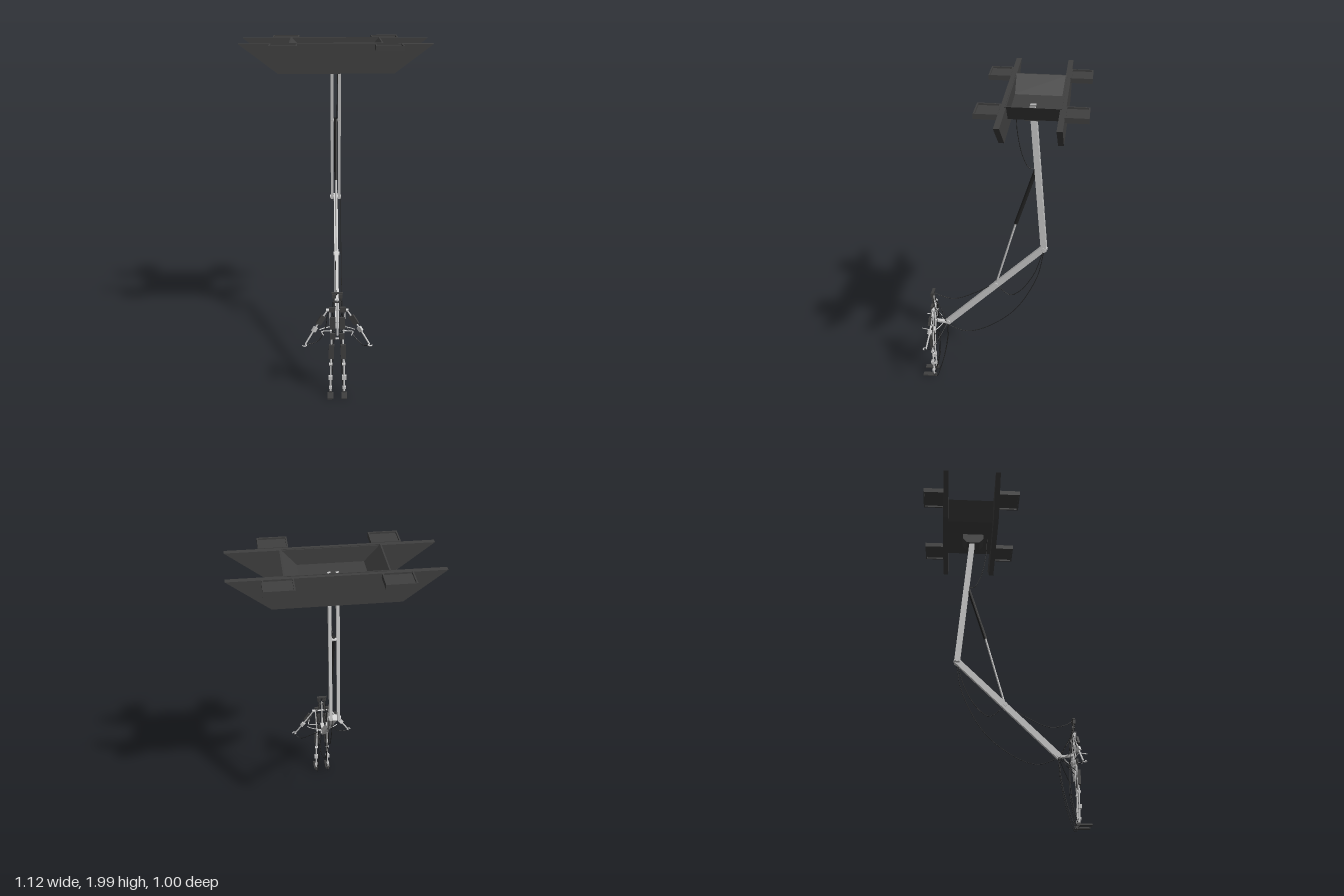
import * as THREE from 'three';

const V = (a) => new THREE.Vector3(...a);
const paint = (color) => new THREE.MeshStandardMaterial({ color, flatShading: true, side: THREE.DoubleSide });
const grey = paint(0xcccccc), dark = paint(0x404040), black = paint(0x222222);
const SIDES = [-1, 1];

export function createModel() {
  const root = new THREE.Group();
  const add = (name, geo, mat, parent = root) => {
    const m = new THREE.Mesh(geo, mat);
    m.name = name;
    parent.add(m);
    return m;
  };
  const group = (name) => {
    const g = new THREE.Group();
    g.name = name;
    root.add(g);
    return g;
  };
  const box = (name, size, pos, mat, parent) => {
    const m = add(name, new THREE.BoxGeometry(...size), mat, parent);
    m.position.set(...pos);
    return m;
  };
  // Stretch a geometry of unit height between two points
  const between = (name, geo, a, b, mat, parent) => {
    const p = V(a), d = V(b).sub(p), m = add(name, geo, mat, parent);
    m.position.copy(p).addScaledVector(d, 0.5);
    m.scale.y = d.length();
    m.quaternion.setFromUnitVectors(new THREE.Vector3(0, 1, 0), d.normalize());
    return m;
  };
  const bar = (name, a, b, w, d, mat, parent) => between(name, new THREE.BoxGeometry(w, 1, d), a, b, mat, parent);
  const rod = (name, a, b, r, mat, parent) => between(name, new THREE.CylinderGeometry(r, r, 1, 10), a, b, mat, parent);
  const pin = (name, pos, r, len, mat, parent) => {
    const m = add(name, new THREE.CylinderGeometry(r, r, len, 12), mat, parent);
    m.rotation.z = Math.PI / 2;
    m.position.set(...pos);
    return m;
  };
  const cable = (name, pts, mat = black, r = 0.0022, parent = root) =>
    add(name, new THREE.TubeGeometry(new THREE.CatmullRomCurve3(pts.map(V)), 28, r, 5), mat, parent);
  // Shape in the xy plane, extruded along z from z0
  const slab = (name, pts, z0, depth, mat, parent) => {
    const s = new THREE.Shape(pts.map(([x, y]) => new THREE.Vector2(x, y)));
    const m = add(name, new THREE.ExtrudeGeometry(s, { depth, bevelEnabled: false }), mat, parent);
    m.position.z = z0;
    return m;
  };

  // Overhead carriage: two trapezoid side plates with a trough between
  const carriage = group('carriage');
  for (const z of [-0.377, -0.069])
    slab('sidePlate', [[-0.558, 1.996], [-0.335, 1.827], [0.335, 1.827], [0.558, 1.996]], z, 0.03, dark, carriage);
  slab('trough', [[-0.27, 2], [-0.182, 1.9], [0.182, 1.9], [0.27, 2], [0.262, 2], [0.179, 1.907], [-0.179, 1.907], [-0.262, 2]],
    -0.355, 0.295, dark, carriage);
  for (const z of [-0.357, -0.064])
    slab('troughEnd', [[-0.27, 2], [-0.182, 1.9], [0.182, 1.9], [0.27, 2]], z, 0.006, dark, carriage);

  // Four shallow trays
  for (const s of SIDES) for (const z of [-0.437, 0.024]) {
    const x = s * 0.3;
    box('trayPlate', [0.16, 0.008, 0.126], [x, 1.985, z], dark, carriage);
    for (const t of SIDES) {
      box('trayRim', [0.008, 0.028, 0.126], [x + t * 0.076, 1.985, z], dark, carriage);
      box('trayRim', [0.16, 0.028, 0.008], [x, 1.985, z + t * 0.059], dark, carriage);
    }
  }

  // Mount under the trough
  const mount = slab('armMount', [[-0.066, 0.06], [-0.066, 0.03], [-0.04, 0], [0.04, 0], [0.066, 0.03], [0.066, 0.06]], 0, 0.09, dark);
  mount.rotation.y = Math.PI / 2;
  mount.position.set(-0.045, 1.84, -0.187);

  // Jointed arm
  const arm = group('arm');
  for (const s of SIDES)
    bar('upperArm', [s * 0.022, 1.912, -0.187], [s * 0.022, 1.01, -0.271], 0.017, 0.034, grey, arm);
  bar('lowerArm', [0, 1.03, -0.28], [0, 0.43, 0.332], 0.024, 0.036, grey, arm);
  pin('elbowPin', [0, 1.02, -0.27], 0.014, 0.07, grey, arm);
  pin('strutTopPin', [0, 1.52, -0.216], 0.01, 0.056, grey, arm);
  pin('strutLowPin', [0, 0.745, 0.018], 0.013, 0.036, grey, arm);
  pin('wristPin', [0, 0.437, 0.325], 0.013, 0.036, grey, arm);
  rod('strutCylinder', [0, 1.535, -0.213], [0, 1.175, -0.1], 0.011, black, arm);
  rod('strutRod', [0, 1.175, -0.1], [0, 0.745, 0.018], 0.006, grey, arm);

  // Hanging cables along the arm
  cable('topCable', [[0.008, 1.9, -0.095], [0.008, 1.75, -0.105], [0.006, 1.6, -0.14], [0.004, 1.54, -0.175], [0, 1.535, -0.21]]);
  cable('elbowCable', [[0.012, 1.01, -0.268], [0.012, 0.84, -0.215], [0.01, 0.71, -0.13], [0.008, 0.675, -0.07], [0.006, 0.745, 0.02]]);
  cable('longCable', [[0.032, 1.01, -0.272], [0.032, 0.83, -0.235], [0.033, 0.58, -0.1], [0.034, 0.43, 0.09], [0.034, 0.395, 0.21], [0.03, 0.435, 0.33]]);
  cable('neckCable', [[-0.006, 0.745, 0.02], [-0.006, 0.67, 0.14], [-0.006, 0.61, 0.28], [-0.005, 0.625, 0.37], [0, 0.65, 0.41]]);

  // Figure: head, spine and torso pads
  const body = group('figure');
  rod('spine', [0, 0.39, 0.41], [0, 0.62, 0.414], 0.006, grey, body);
  box('browBand', [0.064, 0.007, 0.016], [0, 0.657, 0.416], dark, body);
  box('chinBand', [0.044, 0.007, 0.016], [0, 0.604, 0.416], dark, body);
  rod('collar', [-0.055, 0.553, 0.41], [0.055, 0.553, 0.41], 0.006, grey, body);
  rod('hipBar', [-0.036, 0.375, 0.418], [0.036, 0.375, 0.418], 0.006, grey, body);
  bar('backLink', [0, 0.43, 0.33], [0, 0.44, 0.41], 0.024, 0.012, grey, body);
  for (const s of SIDES) {
    box('headPad', [0.022, 0.025, 0.014], [s * 0.018, 0.64, 0.42], dark, body);
    rod('neckStrut', [s * 0.022, 0.653, 0.416], [s * 0.014, 0.55, 0.412], 0.004, dark, body);
    box('chestPad', [0.036, 0.028, 0.014], [s * 0.03, 0.557, 0.42], dark, body);
    box('ribPad', [0.032, 0.07, 0.014], [s * 0.027, 0.474, 0.426], dark, body);
    box('bellyPad', [0.03, 0.034, 0.014], [s * 0.026, 0.392, 0.426], dark, body);
    rod('sideStrut', [s * 0.045, 0.55, 0.412], [s * 0.034, 0.37, 0.418], 0.004, grey, body);

    // Arms
    const sh = [s * 0.055, 0.55, 0.412], el = [s * 0.13, 0.437, 0.42], wr = [s * 0.183, 0.35, 0.437];
    rod('upperLimb', sh, el, 0.005, grey, body);
    rod('foreLimb', el, wr, 0.005, grey, body);
    bar('upperArmPad', [s * 0.079, 0.517, 0.42], [s * 0.11, 0.468, 0.424], 0.032, 0.014, dark, body);
    bar('elbowCuff', [s * 0.123, 0.447, 0.42], [s * 0.138, 0.423, 0.424], 0.024, 0.016, grey, body);
    pin('shoulderJoint', sh, 0.009, 0.02, grey, body);
    // Hooked hand
    const hook = add('hand', new THREE.TorusGeometry(0.011, 0.0035, 6, 14, 4.6), grey, body);
    hook.position.set(s * 0.188, 0.345, 0.445);
    hook.rotation.set(Math.PI / 2, 0, 0);
    hook.scale.x = s;
    // Waist handle
    cable('waistHandle', [[s * 0.015, 0.425, 0.36], [s * 0.075, 0.425, 0.385], [s * 0.1, 0.425, 0.405]], grey, 0.0032, body);
    cable('frontHandle', [[s * 0.03, 0.425, 0.42], [s * 0.09, 0.425, 0.432], [s * 0.087, 0.425, 0.45], [s * 0.08, 0.425, 0.478]], grey, 0.0032, body);

    // Legs
    const hip = [s * 0.032, 0.375, 0.42], knee = [s * 0.038, 0.215, 0.43], ankle = [s * 0.04, 0.03, 0.424];
    rod('thigh', hip, knee, 0.006, grey, body);
    rod('shin', knee, ankle, 0.0055, grey, body);
    bar('thighPad', [s * 0.033, 0.342, 0.433], [s * 0.036, 0.255, 0.433], 0.031, 0.016, dark, body);
    pin('kneeJoint', knee, 0.009, 0.02, grey, body);
    box('calfCuff', [0.025, 0.024, 0.018], [s * 0.04, 0.13, 0.431], grey, body);
    box('ankleCuff', [0.02, 0.014, 0.016], [s * 0.04, 0.062, 0.428], grey, body);
    box('foot', [0.033, 0.008, 0.07], [s * 0.04, 0.027, 0.46], dark, body);
    box('heel', [0.018, 0.016, 0.024], [s * 0.04, 0.03, 0.42], dark, body);

    // Cables from the wrist of the arm to the limbs
    cable('footCable', [[s * 0.012, 0.43, 0.325], [s * 0.02, 0.28, 0.337], [s * 0.03, 0.1, 0.375], [s * 0.036, 0.006, 0.412], [s * 0.04, 0.025, 0.428]], black, 0.002, body);
    cable('legCable', [[s * 0.024, 0.6, 0.41], [s * 0.03, 0.5, 0.395], [s * 0.026, 0.36, 0.39], [s * 0.026, 0.2, 0.388], [s * 0.036, 0.03, 0.418]], black, 0.002, body);
    rod('shoulderLine', [s * 0.008, 0.43, 0.33], [s * 0.04, 0.57, 0.41], 0.002, black, body);
    rod('thighLine', [s * 0.008, 0.43, 0.33], [s * 0.035, 0.33, 0.428], 0.002, black, body);
    rod('elbowLine', [s * 0.04, 0.56, 0.408], [s * 0.13, 0.44, 0.418], 0.002, black, body);
  }
  cable('handCable', [[0.03, 0.435, 0.33], [0.09, 0.375, 0.368], [0.15, 0.326, 0.41], [0.188, 0.342, 0.437]], black, 0.0022, body);
  cable('sideCable', [[-0.01, 0.57, 0.4], [-0.05, 0.53, 0.4], [-0.07, 0.43, 0.405], [-0.11, 0.36, 0.418], [-0.183, 0.343, 0.437]], black, 0.0022, body);
  return root;
}
